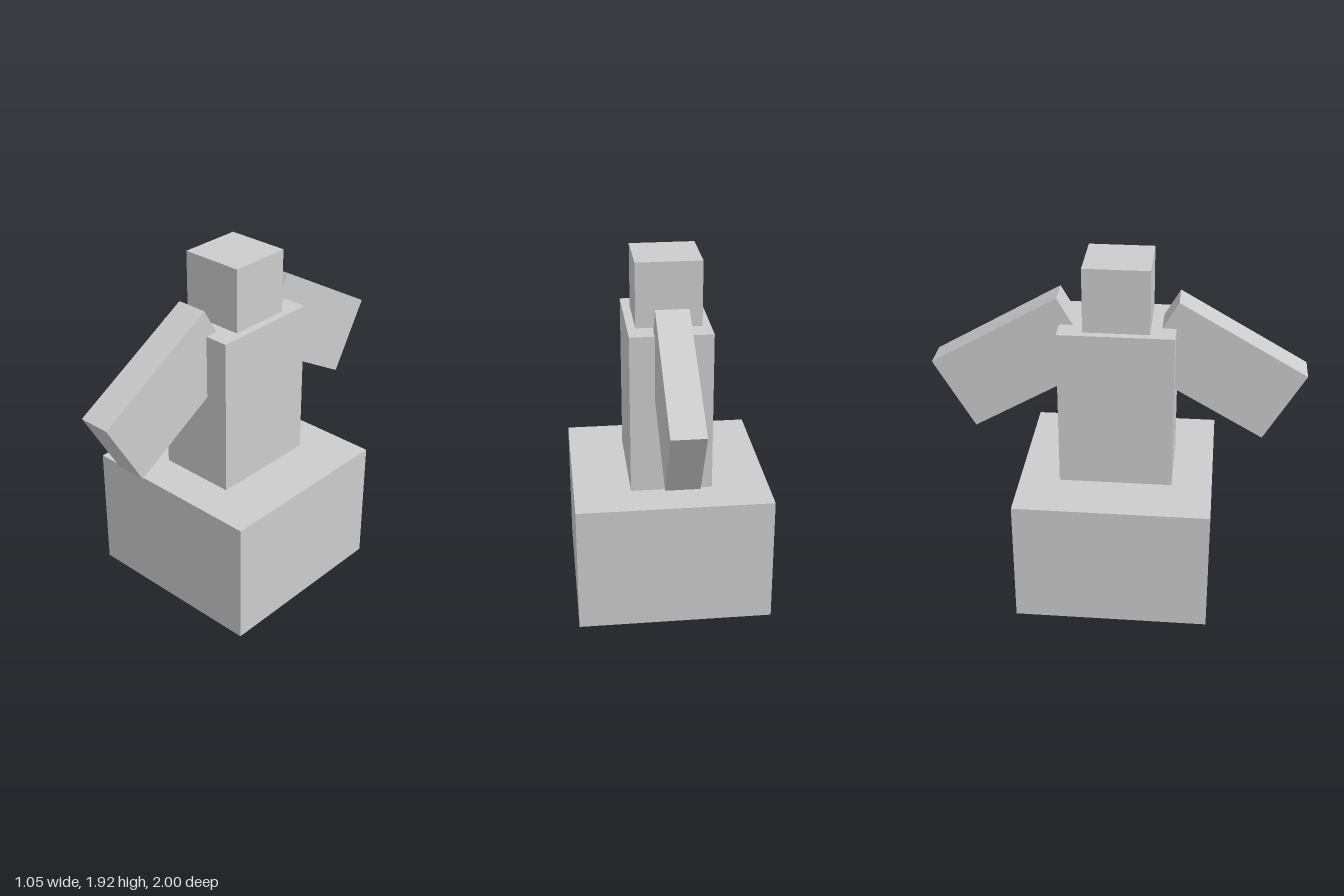
import * as THREE from 'three';

// Box without its underside, open like a shell
function openBox(w, h, d) {
  const geometry = new THREE.BoxGeometry(w, h, d);
  const index = Array.from(geometry.index.array);
  index.splice(18, 6); // drop the bottom face
  geometry.setIndex(index);
  geometry.clearGroups();
  return geometry;
}

export function createModel() {
  const model = new THREE.Group();
  model.name = 'blockFigure';
  const grey = new THREE.MeshStandardMaterial({ color: 0xcccccc, side: THREE.DoubleSide });
  grey.name = 'lightGrey';

  const addBox = (name, [w, h, d], [x, y, z], tilt = 0) => {
    const mesh = new THREE.Mesh(openBox(w, h, d), grey);
    mesh.name = name;
    mesh.position.set(x, y, z);
    mesh.rotation.x = tilt;
    model.add(mesh);
  };

  // Stacked body
  addBox('base', [1.05, 0.7, 1.05], [0, 0.35, 0]);
  addBox('torso', [0.4375, 0.875, 0.6125], [0, 1.1375, 0]);
  addBox('head', [0.35, 0.35, 0.35], [0, 1.75, 0]);

  // Arms slope down and outward to the front and the back
  for (const s of [1, -1]) {
    addBox(s > 0 ? 'frontArm' : 'backArm', [0.175, 0.4375, 0.7875],
      [0, 1.335, s * 0.55], s * Math.PI / 6);
  }
  return model;
}
